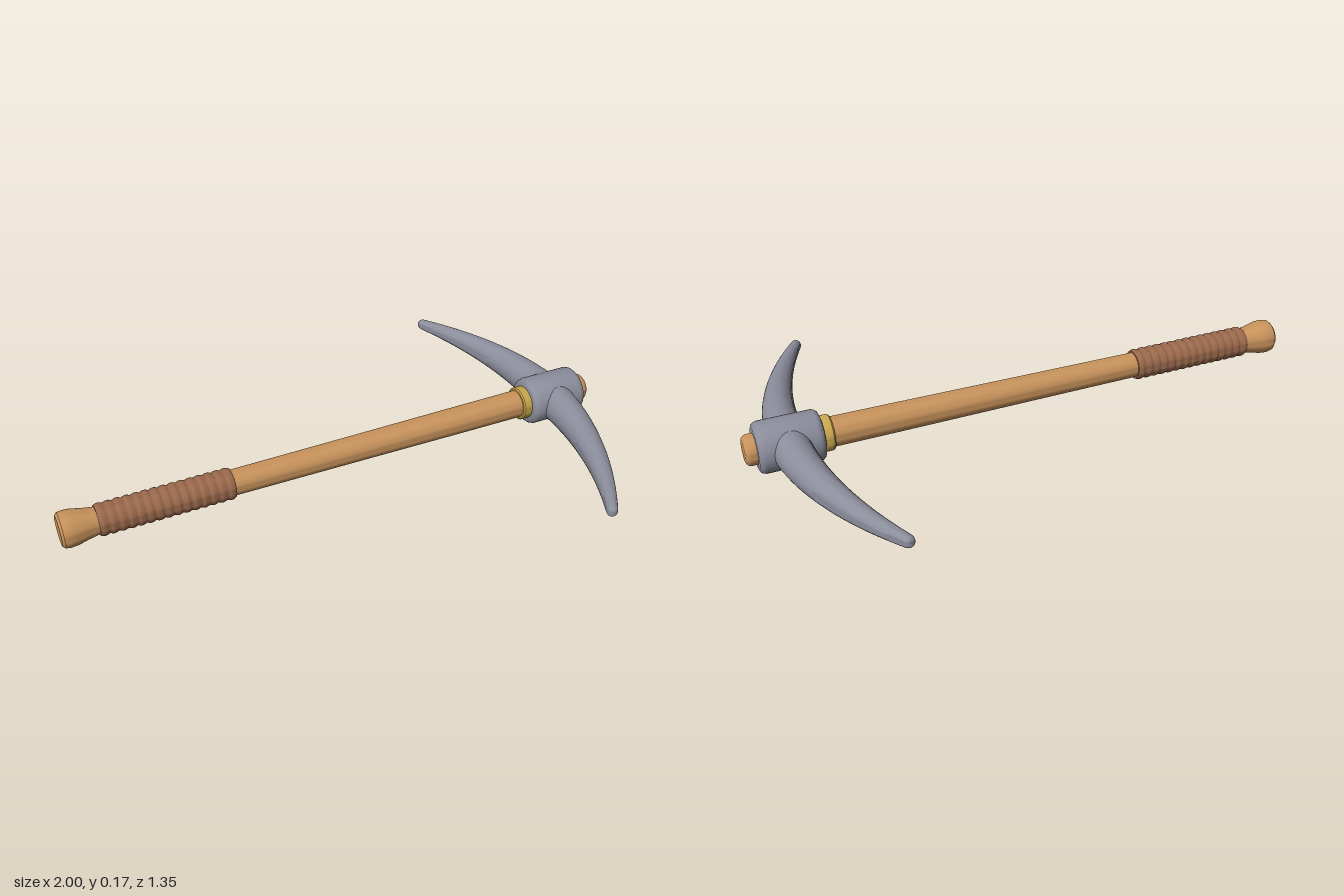
import * as THREE from 'three';
import { toCreasedNormals } from 'three/addons/utils/BufferGeometryUtils.js';

const AXIS_Y = 0.087;

function material(name, color) {
  const m = new THREE.MeshStandardMaterial({ color });
  m.name = name;
  return m;
}

// Round part along the x axis, from [x, radius] pairs running towards +x
function turned(name, profile, mat, crease = 0.6) {
  const points = profile.map(([x, r]) => new THREE.Vector2(r, x));
  const geo = new THREE.LatheGeometry(points, 40);
  geo.rotateZ(-Math.PI / 2);
  const mesh = new THREE.Mesh(toCreasedNormals(geo, crease), mat);
  mesh.name = name;
  mesh.position.y = AXIS_Y;
  return mesh;
}

// Double-ended pick: a tapered spindle along z, bent back towards the handle
function pickHead(mat) {
  const half = 0.675, tip = 0.02, steps = 32;
  const radius = s => 0.071 - 0.05 * Math.pow(s / (half - tip), 1.25);
  const side = [];
  for (let i = 0; i <= steps; i++) {
    const s = (half - tip) * i / steps;
    side.push([s, radius(s)]);
  }
  for (let i = 1; i <= 6; i++) {
    const a = i / 6 * Math.PI / 2;
    side.push([half - tip + tip * Math.sin(a), i === 6 ? 0 : 0.021 * Math.cos(a)]);
  }
  const profile = [
    ...side.slice(1).reverse().map(([s, r]) => new THREE.Vector2(r, -s)),
    ...side.map(([s, r]) => new THREE.Vector2(r, s)),
  ];
  const geo = new THREE.LatheGeometry(profile, 32);
  geo.rotateX(Math.PI / 2);
  const pos = geo.attributes.position;
  const bend = 0.43;
  for (let i = 0; i < pos.count; i++) {
    const x = pos.getX(i) * 0.94, z = pos.getZ(i);
    const slope = -2 * bend * z;
    const len = Math.hypot(1, slope);
    pos.setX(i, 0.857 - bend * z * z + x / len);
    pos.setZ(i, z - x * slope / len);
  }
  const mesh = new THREE.Mesh(toCreasedNormals(geo, 1.0), mat);
  mesh.name = 'pickHead';
  mesh.position.y = AXIS_Y;
  return mesh;
}

export function createModel() {
  const wood = material('wood', 0xc8935c);
  const leather = material('leather', 0x9b694c);
  const steel = material('steel', 0x8b8d9b);
  const brass = material('brass', 0xc9a84e);

  const group = new THREE.Group();
  group.name = 'pickaxe';

  // Shaft with a flared knob at the butt
  group.add(turned('handle', [
    [-1, 0], [-1, 0.052], [-0.992, 0.06], [-0.975, 0.063], [-0.95, 0.061],
    [-0.915, 0.053], [-0.88, 0.047], [-0.84, 0.045], [-0.4, 0.045],
    [0, 0.047], [0.5, 0.05], [0.8, 0.051], [0.8, 0],
  ], wood));

  // Leather grip, ribbed by its wrapping
  const turns = 15, start = -0.875, length = 0.465;
  const grip = [[start, 0.04], [start, 0.051]];
  for (let i = 1; i < turns * 6; i++) {
    const t = i / (turns * 6);
    grip.push([start + length * t, 0.051 + 0.005 * Math.abs(Math.sin(t * turns * Math.PI))]);
  }
  grip.push([start + length, 0.051], [start + length, 0.04]);
  group.add(turned('grip', grip, leather, 1.0));

  // Brass ring below the head
  group.add(turned('ferrule', [
    [0.713, 0.045], [0.713, 0.057], [0.718, 0.061], [0.745, 0.061], [0.752, 0.058], [0.752, 0.045],
  ], brass));

  // Steel socket with rounded rims
  group.add(turned('socket', [
    [0.747, 0], [0.747, 0.07], [0.75, 0.078], [0.757, 0.084], [0.767, 0.087],
    [0.943, 0.087], [0.953, 0.084], [0.96, 0.078], [0.963, 0.07], [0.963, 0],
  ], steel));

  group.add(pickHead(steel));

  // Shaft end showing through the socket
  group.add(turned('handleEnd', [
    [0.95, 0.052], [0.982, 0.052], [0.992, 0.049], [0.998, 0.043], [1, 0.036], [1, 0],
  ], wood));

  return group;
}
